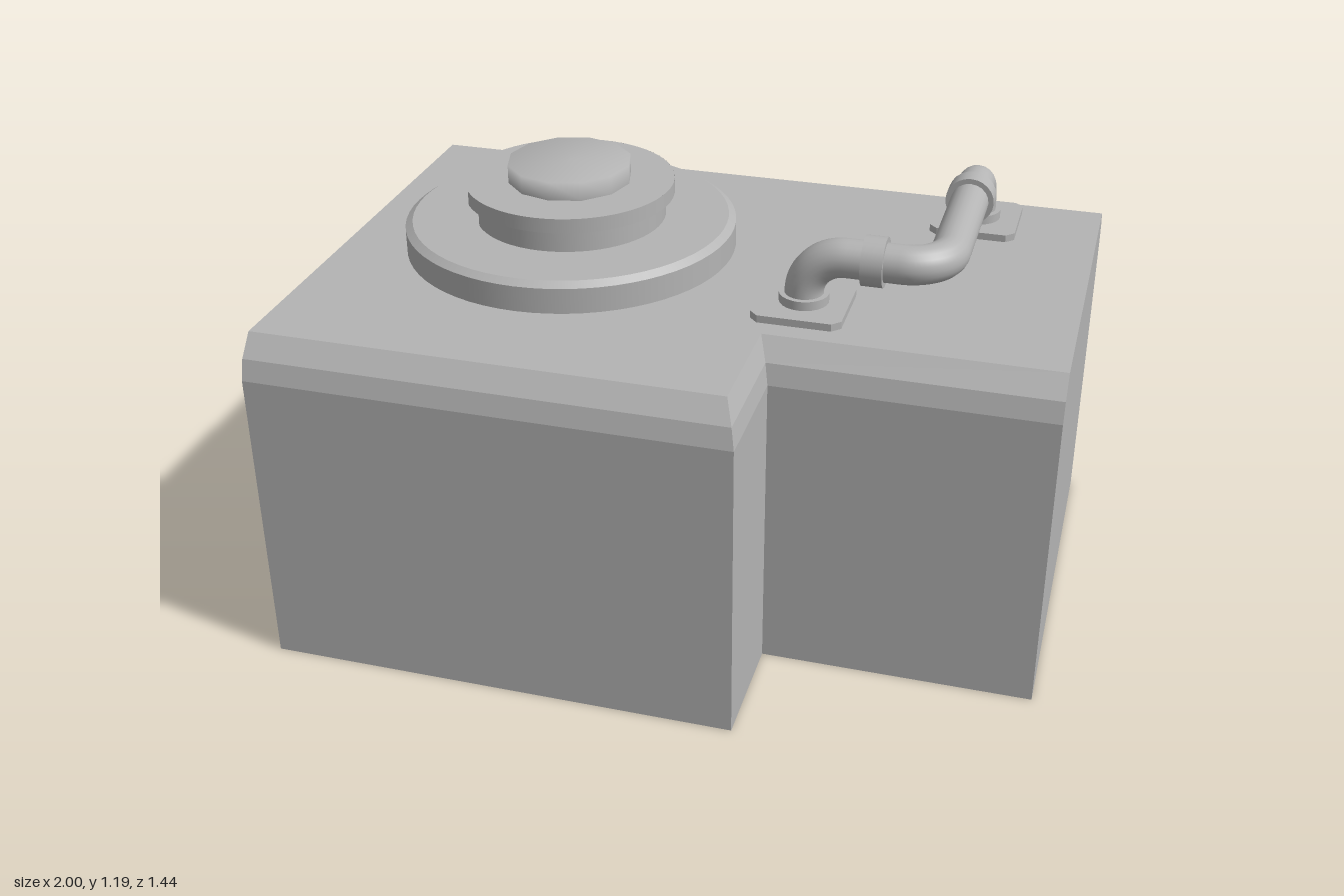
import * as THREE from 'three';

const V = (x, y, z) => new THREE.Vector3(x, y, z);

export function createModel() {
  const model = new THREE.Group();
  const grey = new THREE.MeshStandardMaterial({ color: 0xb4b4b4, side: THREE.DoubleSide });
  grey.name = 'plain grey';

  const add = (name, geometry, x = 0, y = 0, z = 0) => {
    const mesh = new THREE.Mesh(geometry, grey);
    mesh.name = name;
    mesh.position.set(x, y, z);
    model.add(mesh);
    return mesh;
  };

  // Housing: stepped footprint, open below, chamfered along the long edges
  const levels = [[0, 0, 0], [0.835, 0, 0], [0.89, 0.016, 0.01], [0.945, 0.062, 0.033]];
  const outline = ([y, dz, dx]) => [
    V(-1, y, 0.72 - dz), V(0.272 - dx, y, 0.72 - dz), V(0.272 - dx, y, 0.39 - dz),
    V(1, y, 0.39 - dz), V(1, y, -0.72 + dz), V(-1, y, -0.72 + dz),
  ];
  const corners = [];
  const quad = (a, b, c, d) => [a, b, c, a, c, d].forEach((p) => corners.push(p));
  const rings = levels.map(outline);
  for (let i = 0; i < rings.length - 1; i++) {
    for (let j = 0; j < 6; j++) {
      const k = (j + 1) % 6;
      quad(rings[i][j], rings[i][k], rings[i + 1][k], rings[i + 1][j]);
    }
  }
  const top = rings[rings.length - 1];
  const backMid = V(top[1].x, top[1].y, top[5].z);
  quad(top[0], top[1], backMid, top[5]);
  quad(top[2], top[3], top[4], backMid);
  const body = new THREE.BufferGeometry().setFromPoints(corners);
  body.computeVertexNormals();
  add('housing', body);

  // Round hatch base with a bevelled rim
  const hx = -0.4, hz = -0.078;
  add('hatchBase', new THREE.CylinderGeometry(0.453, 0.453, 0.07, 64, 1, true), hx, 0.98, hz);
  add('hatchBevel', new THREE.CylinderGeometry(0.433, 0.453, 0.014, 64), hx, 1.022, hz);

  // Neck and lid rim, both open on the right side
  const gap = 0.63;
  const start = Math.PI * 1.5 + gap, sweep = Math.PI * 2 - gap * 2;
  add('hatchNeck', new THREE.CylinderGeometry(0.26, 0.26, 0.065, 48, 1, true, start, sweep), hx, 1.061, hz);
  add('lidRim', new THREE.CylinderGeometry(0.285, 0.285, 0.04, 48, 1, true, start, sweep), hx, 1.113, hz);
  const under = new THREE.RingGeometry(0.26, 0.285, 48, 1, Math.PI + gap, sweep);
  under.rotateX(Math.PI / 2);
  add('lidUnderside', under, hx, 1.093, hz);
  const disc = new THREE.CircleGeometry(0.285, 48);
  disc.rotateX(-Math.PI / 2);
  add('lidTop', disc, hx, 1.133, hz);

  // Softly shaded knob on the lid
  const knob = [[0.169, 1.133], [0.169, 1.184], [0, 1.186]].map(([r, y]) => new THREE.Vector2(r, y));
  add('lidKnob', new THREE.LatheGeometry(knob, 12), hx, 0, hz);

  // Pipe feet: clipped square plate and collar
  const h = 0.118, c = 0.022;
  const plate = new THREE.Shape([
    [-h + c, -h], [h - c, -h], [h, -h + c], [h, h - c],
    [h - c, h], [-h + c, h], [-h, h - c], [-h, -h + c],
  ].map(([x, y]) => new THREE.Vector2(x, y)));
  const feet = [[0.308, 0.153], [0.661, -0.503]];
  for (const [x, z] of feet) {
    const geo = new THREE.ExtrudeGeometry(plate, { depth: 0.022, bevelEnabled: false });
    geo.rotateX(-Math.PI / 2);
    add('pipePlate', geo, x, 0.943, z);
    add('pipeCollar', new THREE.CylinderGeometry(0.065, 0.065, 0.025, 24), x, 0.977, z);
  }

  // Pipe: straight runs joined by rounded elbows
  const py = 1.096, bend = 0.105;
  const [[ax, az], [bx, bz]] = feet;
  const route = [V(ax, 0.965, az), V(ax, py, az), V(bx, py, az), V(bx, py, bz), V(bx, 0.965, bz)];
  const path = new THREE.CurvePath();
  let from = route[0];
  for (let i = 1; i < route.length - 1; i++) {
    const p = route[i];
    const toward = (q) => p.clone().add(q.clone().sub(p).setLength(bend));
    const a = toward(route[i - 1]), b = toward(route[i + 1]);
    const k = 0.552;
    path.add(new THREE.LineCurve3(from, a));
    path.add(new THREE.CubicBezierCurve3(a, a.clone().lerp(p, k), b.clone().lerp(p, k), b));
    from = b;
  }
  path.add(new THREE.LineCurve3(from, route[route.length - 1]));
  add('pipe', new THREE.TubeGeometry(path, 110, 0.051, 20), 0, 0, 0);

  // Coupling rings on the two horizontal runs
  const couplingA = add('pipeCoupling', new THREE.CylinderGeometry(0.065, 0.065, 0.056, 24), 0.487, py, az);
  couplingA.rotation.z = Math.PI / 2;
  const couplingB = add('pipeCoupling', new THREE.CylinderGeometry(0.065, 0.065, 0.056, 24), bx, py, -0.315);
  couplingB.rotation.x = Math.PI / 2;

  return model;
}
